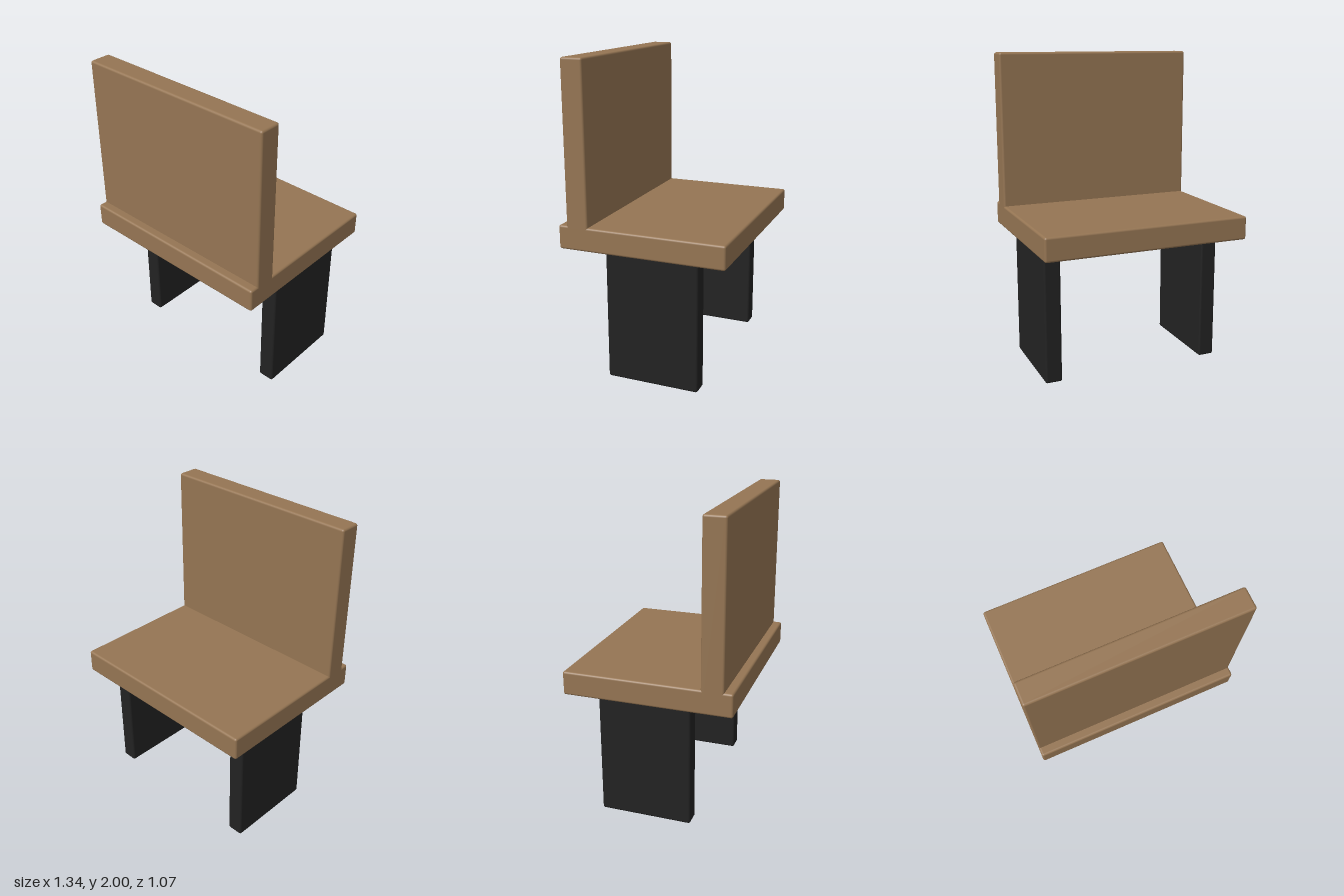
import * as THREE from 'three';
import { RoundedBoxGeometry } from 'three/addons/geometries/RoundedBoxGeometry.js';

const wood = new THREE.MeshStandardMaterial({ name: 'brown wood', color: 0x957553 });
const black = new THREE.MeshStandardMaterial({ name: 'black leg', color: 0x222222 });

// Softly rounded board spanning the given [min, max] ranges
function board(name, material, [x0, x1], [y0, y1], [z0, z1]) {
  const geometry = new RoundedBoxGeometry(x1 - x0, y1 - y0, z1 - z0, 3, 0.014);
  const mesh = new THREE.Mesh(geometry, material);
  mesh.name = name;
  mesh.position.set((x0 + x1) / 2, (y0 + y1) / 2, (z0 + z1) / 2);
  return mesh;
}

export function createModel() {
  const chair = new THREE.Group();
  chair.name = 'chair';

  // Seat slab and upright backrest
  const width = [-0.672, 0.672];
  chair.add(board('seat', wood, width, [0.836, 0.988], [-0.537, 0.537]));
  chair.add(board('backrest', wood, width, [0.9, 2], [0.34, 0.482]));

  // Panel legs, set slightly off centre under the seat
  const legs = { rightLeg: [-0.561, -0.453], leftLeg: [0.516, 0.624] };
  for (const [name, span] of Object.entries(legs)) {
    chair.add(board(name, black, span, [0, 0.86], [-0.354, 0.246]));
  }
  return chair;
}
